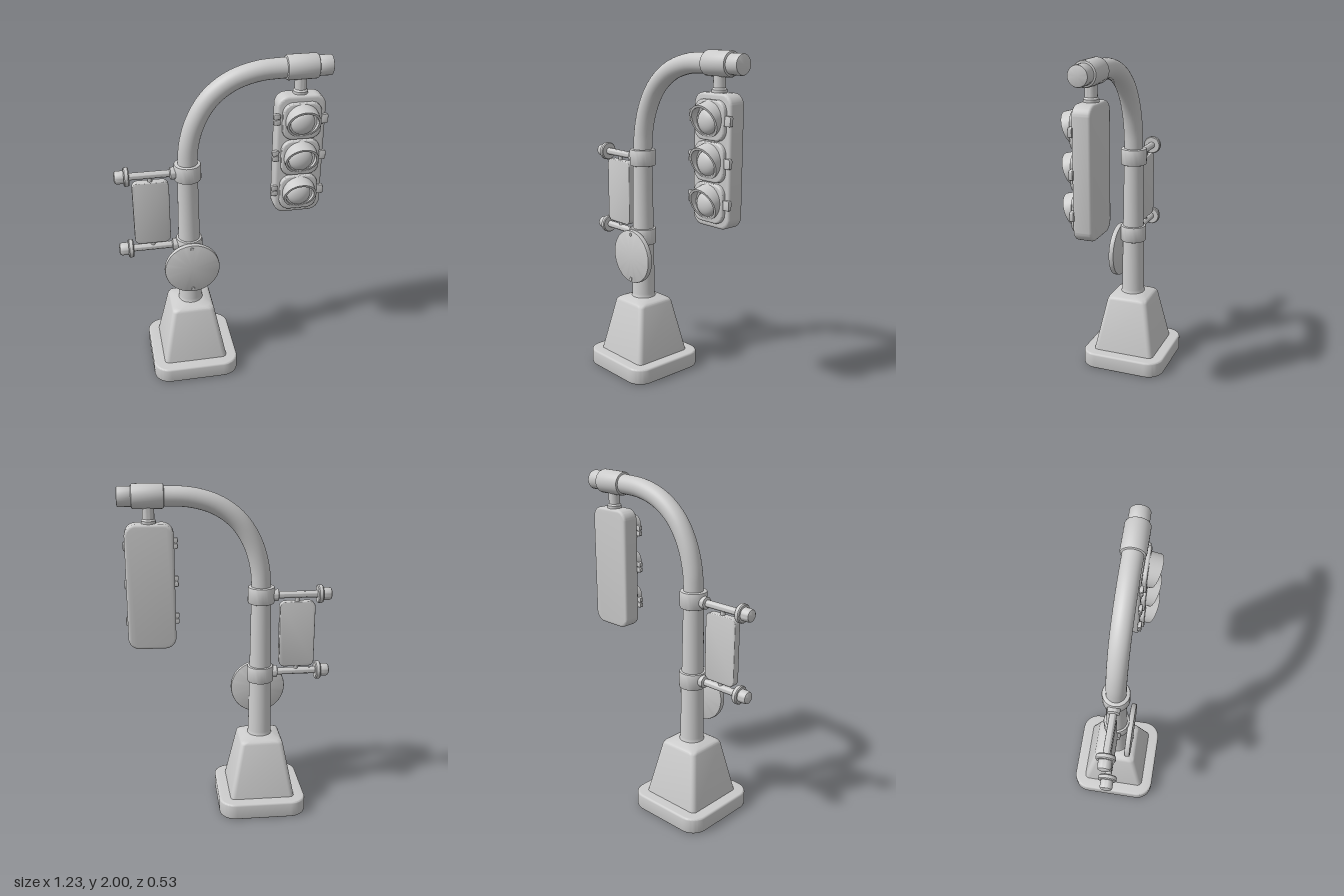
import * as THREE from 'three';
import { toCreasedNormals } from 'three/addons/utils/BufferGeometryUtils.js';

const material = new THREE.MeshStandardMaterial({ color: 0xcccccc });
const POLE_X = -0.2, ARM_Y = 1.93, HEAD_X = 0.442;

function add(parent, name, geometry, x = 0, y = 0, z = 0) {
  const mesh = new THREE.Mesh(geometry, material);
  mesh.name = name;
  mesh.position.set(x, y, z);
  parent.add(mesh);
  return mesh;
}

// Rounded rectangle centred on the origin
function roundedRect(w, h, r) {
  const s = new THREE.Shape(), x = w / 2, y = h / 2;
  s.absarc(x - r, y - r, r, 0, Math.PI / 2);
  s.absarc(r - x, y - r, r, Math.PI / 2, Math.PI);
  s.absarc(r - x, r - y, r, Math.PI, Math.PI * 1.5);
  s.absarc(x - r, r - y, r, Math.PI * 1.5, Math.PI * 2);
  s.closePath();
  return s;
}

// Rounded plate with softened edges, thickness along z and centred
function slab(w, h, d, r, bevel) {
  const g = new THREE.ExtrudeGeometry(roundedRect(w - 2 * bevel, h - 2 * bevel, r - bevel), {
    depth: d - 2 * bevel, bevelEnabled: true, bevelThickness: bevel, bevelSize: bevel,
    bevelSegments: 3, curveSegments: 8,
  });
  g.translate(0, 0, bevel - d / 2);
  return toCreasedNormals(g, 0.6);
}

// Turned solid around y from [radius, height] pairs
function turned(profile, segments = 32) {
  const g = new THREE.LatheGeometry(profile.map(([r, y]) => new THREE.Vector2(r, y)), segments);
  return toCreasedNormals(g, 0.6);
}

// Closed cylinder profile with small rounded rims
const barrel = (r, y0, y1, b = 0.008) => [
  [0, y0], [r - b, y0], [r - b * 0.3, y0 + b * 0.3], [r, y0 + b],
  [r, y1 - b], [r - b * 0.3, y1 - b * 0.3], [r - b, y1], [0, y1],
];

// Skin over rounded square sections [y, half width, corner radius]
function loft(sections) {
  const pos = [], index = [], corner = 6, n = corner * 4;
  for (const [y, half, r] of sections) {
    for (let i = 0; i < n; i++) {
      const q = Math.floor(i / corner);
      const a = (q + (i % corner) / (corner - 1)) * Math.PI / 2;
      const sx = q === 0 || q === 3 ? 1 : -1, sz = q < 2 ? 1 : -1;
      pos.push(sx * (half - r) + r * Math.cos(a), y, sz * (half - r) + r * Math.sin(a));
    }
  }
  for (let s = 0; s < sections.length - 1; s++) {
    for (let i = 0; i < n; i++) {
      const a = s * n + i, b = s * n + (i + 1) % n;
      index.push(a, a + n, b, b, a + n, b + n);
    }
  }
  const top = (sections.length - 1) * n;
  for (let i = 1; i < n - 1; i++) index.push(top, top + i + 1, top + i);
  const g = new THREE.BufferGeometry();
  g.setAttribute('position', new THREE.Float32BufferAttribute(pos, 3));
  g.setIndex(index);
  return toCreasedNormals(g, 0.6);
}

// Hood: a ring drawn forward, longest at the top and drooping
function visorGeometry() {
  const R = 0.097;
  const g = new THREE.LatheGeometry(
    [[R, 0], [R, 1], [R - 0.014, 1], [R - 0.014, 0]].map(([r, y]) => new THREE.Vector2(r, y)), 40);
  g.rotateX(Math.PI / 2);
  const p = g.attributes.position;
  for (let i = 0; i < p.count; i++) {
    const y = p.getY(i);
    const z = p.getZ(i) * (0.042 + 0.035 * y / R);
    p.setXYZ(i, p.getX(i), y - 0.27 * z, z);
  }
  return toCreasedNormals(g, 0.6);
}

function createFoot() {
  const foot = new THREE.Group();
  foot.name = 'foot';
  add(foot, 'basePlate', slab(0.53, 0.53, 0.1, 0.1, 0.012).rotateX(-Math.PI / 2), 0, 0.052, 0);
  add(foot, 'pedestal', loft([
    [0.1, 0.197, 0.03], [0.432, 0.132, 0.03], [0.445, 0.126, 0.035],
    [0.454, 0.112, 0.045], [0.46, 0.09, 0.06], [0.468, 0.075, 0.07],
  ]));
  return foot;
}

function createPole() {
  const pole = new THREE.Group();
  pole.name = 'pole';
  add(pole, 'shaft', turned([[0.082, 0.455], [0.073, 0.47], [0.07, 0.49], [0.058, 1.4]]));
  for (const y of [0.86, 1.35]) add(pole, 'collar', turned(barrel(0.079, y - 0.05, y + 0.05)));
  return pole;
}

// Curved arm with sleeve and end plug
function createArm() {
  const arm = new THREE.Group();
  arm.name = 'arm';
  const path = new THREE.CatmullRomCurve3([
    [-0.2, 1.38], [-0.19, 1.51], [-0.15, 1.65], [-0.07, 1.78],
    [0.05, 1.872], [0.2, 1.92], [0.37, ARM_Y],
  ].map(([x, y]) => new THREE.Vector3(x, y, 0)));
  add(arm, 'bend', new THREE.TubeGeometry(path, 24, 0.057, 32));
  const alongX = (profile) => turned(profile).rotateZ(-Math.PI / 2);
  add(arm, 'sleeve', alongX(barrel(0.07, 0.352, 0.535, 0.012)), 0, ARM_Y, 0);
  add(arm, 'endPlug', alongX(barrel(0.057, 0.52, 0.614)), 0, ARM_Y, 0);
  add(arm, 'hanger', turned([[0.042, 1.77], [0.042, 1.795], [0.034, 1.805], [0.034, 1.88]]), HEAD_X, 0, 0);
  return arm;
}

function createSignalHead() {
  const head = new THREE.Group();
  head.name = 'signalHead';
  head.position.x = HEAD_X;
  add(head, 'housing', slab(0.278, 0.73, 0.107, 0.065, 0.015), 0, 1.415, 0.002);
  for (const y of [1.638, 1.414, 1.19]) {
    const lamp = new THREE.Group();
    lamp.name = 'lamp';
    lamp.position.set(0, y, 0);
    head.add(lamp);
    add(lamp, 'door', slab(0.222, 0.216, 0.04, 0.06, 0.01), 0, 0, 0.06);
    add(lamp, 'visor', visorGeometry(), 0, 0.007, 0.076);
    add(lamp, 'lensRim', new THREE.TorusGeometry(0.076, 0.008, 8, 36), 0, -0.004, 0.08);
    const lens = new THREE.SphereGeometry(0.07, 32, 10, 0, Math.PI * 2, 0, Math.PI / 2);
    add(lamp, 'lens', lens.rotateX(Math.PI / 2).scale(1, 1, 0.6), 0, -0.006, 0.079);
    // Hinges on one side, latches on the other
    for (const dy of [-0.017, 0.017]) {
      add(lamp, 'hinge', slab(0.04, 0.03, 0.024, 0.008, 0.004), -0.143, 0.015 + dy, 0.058);
    }
    add(lamp, 'hingePin', new THREE.CylinderGeometry(0.008, 0.008, 0.062, 12), -0.15, 0.015, 0.058);
    add(lamp, 'latch', slab(0.046, 0.055, 0.024, 0.01, 0.004), 0.128, 0.003, 0.058);
  }
  return head;
}

// Rectangular sign held between two side rods
function createSideSign() {
  const sign = new THREE.Group();
  sign.name = 'sideSign';
  add(sign, 'panel', slab(0.212, 0.405, 0.045, 0.035, 0.005), -0.417, 1.103, 0);
  for (const [y, side] of [[1.345, -1], [0.865, 1]]) {
    const rod = turned([
      [0, -0.07], [0.036, -0.07], [0.036, -0.1], [0.021, -0.105], [0.021, -0.335],
      [0.05, -0.335], [0.055, -0.341], [0.055, -0.36], [0.05, -0.366],
      [0.038, -0.366], [0.038, -0.405], [0.034, -0.415], [0.025, -0.42], [0, -0.42],
    ].reverse());
    add(sign, 'rod', rod.rotateZ(-Math.PI / 2), POLE_X, y, 0);
    add(sign, 'sleeveLink', new THREE.CylinderGeometry(0.014, 0.014, 0.05, 16), -0.417, y + side * 0.025, 0);
  }
  return sign;
}

// Round plate on the front of the pole
function createRoundSign() {
  const sign = new THREE.Group();
  sign.name = 'roundSign';
  sign.position.set(POLE_X + 0.003, 0.738, 0);
  add(sign, 'disc', turned(barrel(0.166, 0.07, 0.103, 0.006), 48).rotateX(Math.PI / 2));
  for (const y of [-0.143, 0.143]) {
    add(sign, 'screw', turned(barrel(0.011, 0.1, 0.11, 0.004), 16).rotateX(Math.PI / 2), 0, y, 0);
  }
  return sign;
}

export function createModel() {
  const model = new THREE.Group();
  model.name = 'trafficLight';
  const foot = createFoot(), pole = createPole();
  foot.position.x = pole.position.x = POLE_X;
  model.add(foot, pole, createArm(), createSignalHead(), createSideSign(), createRoundSign());
  return model;
}
